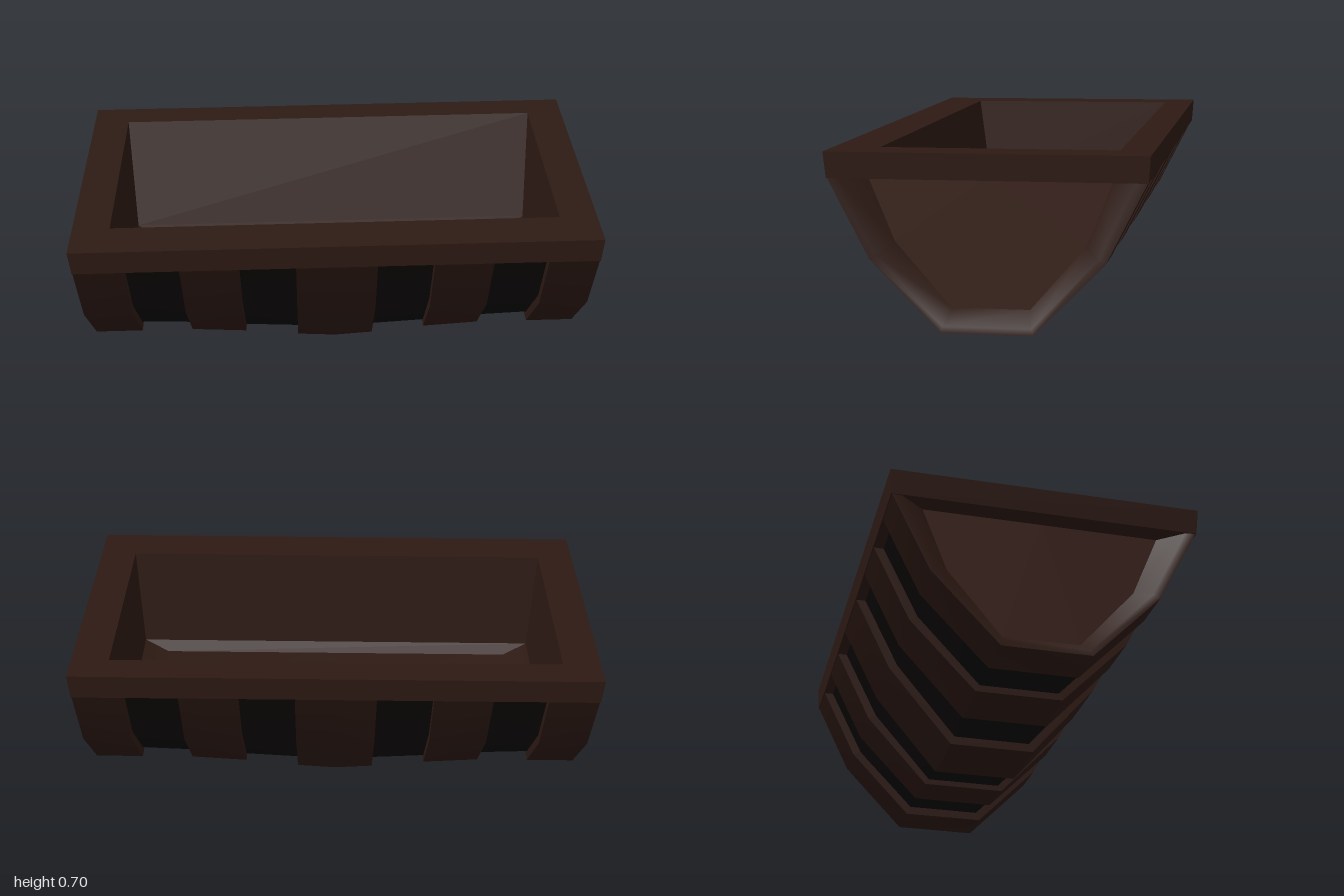
import * as THREE from 'three';
import { toCreasedNormals } from 'three/addons/utils/BufferGeometryUtils.js';

const material = color => new THREE.MeshStandardMaterial({ color, side: THREE.DoubleSide });
const wood = material(0x2e1a14);
const darkWood = material(0x0d0807);
const panelWood = material(0x39211b);

// Skin a surface through equal-length cross-sections; edges sharper than crease stay hard
function loft(name, rings, mat, { closed = false, flip = false, crease = 0.5 } = {}) {
  const n = rings[0].length, pos = [], idx = [];
  rings.forEach(r => r.forEach(p => pos.push(...p)));
  for (let i = 0; i < rings.length - 1; i++) {
    for (let j = 0; j < (closed ? n : n - 1); j++) {
      const a = i * n + j, b = i * n + (j + 1) % n, c = b + n, d = a + n;
      if (flip) idx.push(a, c, b, a, d, c);
      else idx.push(a, b, c, a, c, d);
    }
  }
  const g = new THREE.BufferGeometry();
  g.setAttribute('position', new THREE.Float32BufferAttribute(pos, 3));
  g.setIndex(idx);
  const mesh = new THREE.Mesh(toCreasedNormals(g, crease), mat);
  mesh.name = name;
  return mesh;
}

// Hull section at x: front edge, kink, keel, then mirrored to the back
const section = (x, [topZ, topY], [midZ, midY], [lowZ, lowY]) => [
  [x, topY, topZ], [x, midY, midZ], [x, lowY, lowZ],
  [x, lowY, -lowZ], [x, midY, -midZ], [x, topY, -topZ],
];
const outer = (x, low) => section(x, [0.567, 0.6], [0.42, 0.31], [0.165, low]);
const inner = (x, low) => section(x, [0.53, 0.6], [0.388, 0.325], [0.15, low + 0.035]);
const lip = x => section(x, [0.53, 0.6], [0.396, 0.325], [0.158, 0.073]);
const panel = x => section(x, [0.442, 0.6], [0.345, 0.36], [0.142, 0.125]);

// Rectangle running round the trough at height y
const rect = (x, y, zBack, zFront) => [[-x, y, zFront], [x, y, zFront], [x, y, zBack], [-x, y, zBack]];

export function createModel() {
  const model = new THREE.Group();
  const trough = new THREE.Group();
  trough.name = 'trough';
  model.add(trough);

  // Rim and hollow basin in one continuous skin
  trough.add(loft('rimAndBasin', [
    rect(0.86, 0.595, -0.49, 0.49),
    rect(0.98, 0.595, -0.568, 0.568),
    rect(0.988, 0.69, -0.575, 0.575),
    rect(0.847, 0.69, -0.455, 0.405),
    rect(0.82, 0.3, -0.255, 0.352),
    rect(0.72, 0.265, -0.19, 0.315),
    rect(0.41, 0.2, -0.03, 0.04),
    rect(0, 0.2, 0, 0),
  ], wood, { closed: true }));

  // Dark recessed hull between the ribs, keel slightly bowed
  const keel = [[-0.82, 0.05], [-0.57, 0.04], [-0.36, 0.023], [-0.15, 0.011],
    [0.15, 0.011], [0.36, 0.023], [0.57, 0.04], [0.82, 0.05]];
  trough.add(loft('recessedHull', keel.map(([x, y]) => inner(x, y)), darkWood));

  // Centre rib
  trough.add(loft('centreRib', [
    inner(-0.152, 0.02), outer(-0.152, 0.013), outer(0, 0.003), outer(0.152, 0.013), inner(0.152, 0.02),
  ], wood));

  for (const s of [1, -1]) {
    const side = s > 0 ? 'left' : 'right', flip = s < 0;
    // Middle rib
    trough.add(loft(side + 'MiddleRib', [
      inner(s * 0.364, 0.04), outer(s * 0.364, 0.036), outer(s * 0.585, 0.05), inner(s * 0.585, 0.055),
    ], wood, { flip }));
    // End rib with a lip sloping in to the panel
    trough.add(loft(side + 'EndRib', [
      inner(s * 0.79, 0.06), outer(s * 0.79, 0.05), outer(s * 0.978, 0.05),
      lip(s * 0.975), panel(s * 0.9),
    ], wood, { flip, crease: 0.95 }));
    // Sunken end panel
    trough.add(loft(side + 'EndPanel', [
      panel(s * 0.9), panel(s * 0.9).map(([x]) => [x, 0.6, 0]),
    ], panelWood, { flip }));
  }

  // Slightly crooked stance
  trough.rotation.set(0.0105, 0.019, 0.01);
  trough.position.set(0.005, 0, -0.006);
  return model;
}
